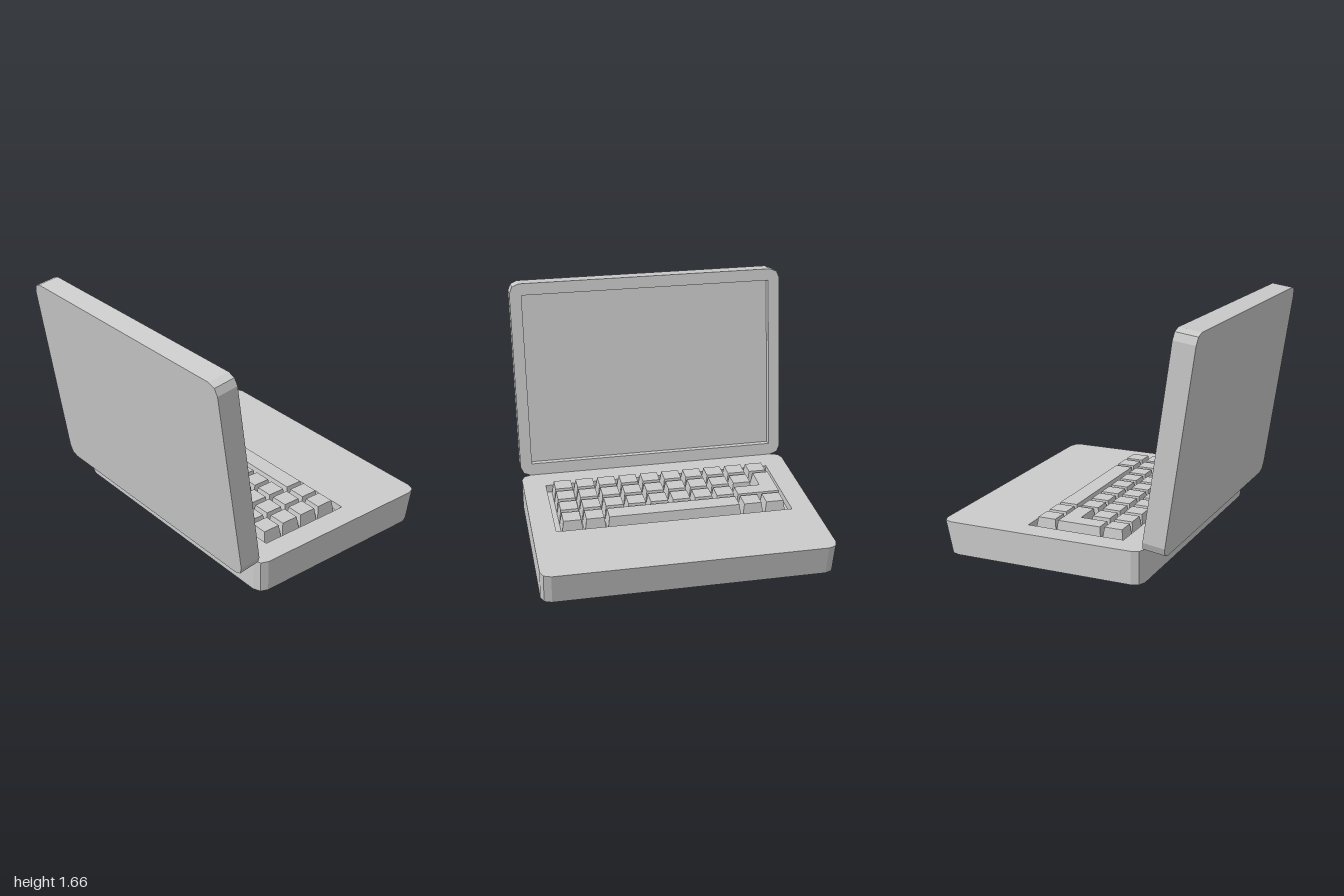
import * as THREE from 'three';

const grey = new THREE.MeshStandardMaterial({ color: 0xcccccc, flatShading: true });
const BASE_H = 0.225, FLOOR = 0.17, KEY_TOP = 0.272;

function polygon(points) {
  return points.map(([x, y]) => new THREE.Vector2(x, y));
}

function rect(x0, y0, x1, y1) {
  return polygon([[x0, y0], [x1, y0], [x1, y1], [x0, y1]]);
}

// Rectangle whose corners are cut by two facets
function softRect(x0, y0, x1, y1, r = 0.07, s = 0.02) {
  return polygon([
    [x0 + r, y0], [x1 - r, y0], [x1 - s, y0 + s], [x1, y0 + r],
    [x1, y1 - r], [x1 - s, y1 - s], [x1 - r, y1], [x0 + r, y1],
    [x0 + s, y1 - s], [x0, y1 - r], [x0, y0 + r], [x0 + s, y0 + s],
  ]);
}

function extrude(outline, depth, hole) {
  const shape = new THREE.Shape(outline);
  if (hole) shape.holes.push(new THREE.Path(hole));
  return new THREE.ExtrudeGeometry(shape, { depth, bevelEnabled: false });
}

function addMesh(parent, name, geometry) {
  const mesh = new THREE.Mesh(geometry, grey);
  mesh.name = name;
  parent.add(mesh);
  return mesh;
}

// Plan outline (x, -z) raised from y0 to y1
function raise(outline, y0, y1, hole) {
  return extrude(outline, y1 - y0, hole).rotateX(-Math.PI / 2).translate(0, y0, 0);
}

// Case layer with the front edge sloping back towards the bottom
function caseLayer(y0, y1, hole) {
  const geometry = raise(softRect(-0.55, -1, 0.9, 1), y0, y1, hole);
  const p = geometry.attributes.position;
  for (let i = 0; i < p.count; i++) {
    if (p.getX(i) > 0.5) p.setX(i, p.getX(i) - 0.05 * (1 - p.getY(i) / BASE_H));
  }
  geometry.computeVertexNormals();
  return geometry;
}

// Key of any counter-clockwise outline, its top drawn in on all sides
function keyGeometry(outline, inset = 0.014) {
  const n = outline.length;
  const inward = (a, b) => new THREE.Vector2(a.y - b.y, b.x - a.x).normalize();
  const top = outline.map((v, i) => {
    const before = outline[(i + n - 1) % n], after = outline[(i + 1) % n];
    return v.clone().addScaledVector(inward(before, v).add(inward(v, after)), inset);
  });
  const height = KEY_TOP - FLOOR;
  const geometry = extrude(outline, height);
  const p = geometry.attributes.position;
  for (let i = 0; i < p.count; i++) {
    if (p.getZ(i) < height / 2) continue;
    const k = outline.findIndex(v => Math.hypot(v.x - p.getX(i), v.y - p.getY(i)) < 1e-4);
    p.setXY(i, top[k].x, top[k].y);
  }
  geometry.computeVertexNormals();
  return geometry.rotateX(-Math.PI / 2).translate(0, FLOOR, 0);
}

export function createModel() {
  const model = new THREE.Group();
  model.name = 'laptop';

  // Base with a sunken keyboard well
  const base = new THREE.Group();
  base.name = 'base';
  model.add(base);
  addMesh(base, 'baseBottom', caseLayer(0, FLOOR));
  addMesh(base, 'baseTop', caseLayer(FLOOR, BASE_H, rect(-0.36, -0.835, 0.33, 0.84)));

  // Keys: four lines of ten places, some merged into larger keys
  const keyboard = new THREE.Group();
  keyboard.name = 'keyboard';
  model.add(keyboard);
  const keyX = c => -0.265 + 0.161 * c;
  const keyZ = r => -0.727 + 0.1605 * r;
  const half = 0.076;
  const addKey = (name, c, r0, r1 = r0) => addMesh(keyboard, name, keyGeometry(
    rect(keyX(c) - half, -keyZ(r1) - half, keyX(c) + half, -keyZ(r0) + half)));
  const firstRow = [0, 1, 2, 0];
  for (let c = 0; c < 4; c++) {
    for (let r = firstRow[c]; r < 10; r++) {
      if (c === 3 && r >= 2 && r <= 7) continue;
      addKey('key', c, r);
    }
  }
  addKey('spaceBar', 3, 2, 7);
  addMesh(keyboard, 'enterKey', keyGeometry(polygon([
    [-0.187, 0.67], [0.002, 0.67], [0.002, 0.482], [0.142, 0.482], [0.142, 0.813], [-0.187, 0.813],
  ])));

  // Lid leaning back from the rear edge of the base
  const lid = new THREE.Group();
  lid.name = 'lid';
  lid.position.set(-0.55, BASE_H, 0);
  lid.rotation.z = 0.1425;
  model.add(lid);
  const thickness = 0.151, recess = 0.055;
  const outline = softRect(-1, 0, 1, 1.445);
  addMesh(lid, 'lidBack', extrude(outline, thickness - recess)
    .rotateY(Math.PI / 2).translate(-thickness, 0, 0));
  addMesh(lid, 'screenFrame', extrude(outline, recess, rect(-0.915, 0.087, 0.915, 1.36))
    .rotateY(Math.PI / 2).translate(-recess, 0, 0));

  return model;
}
